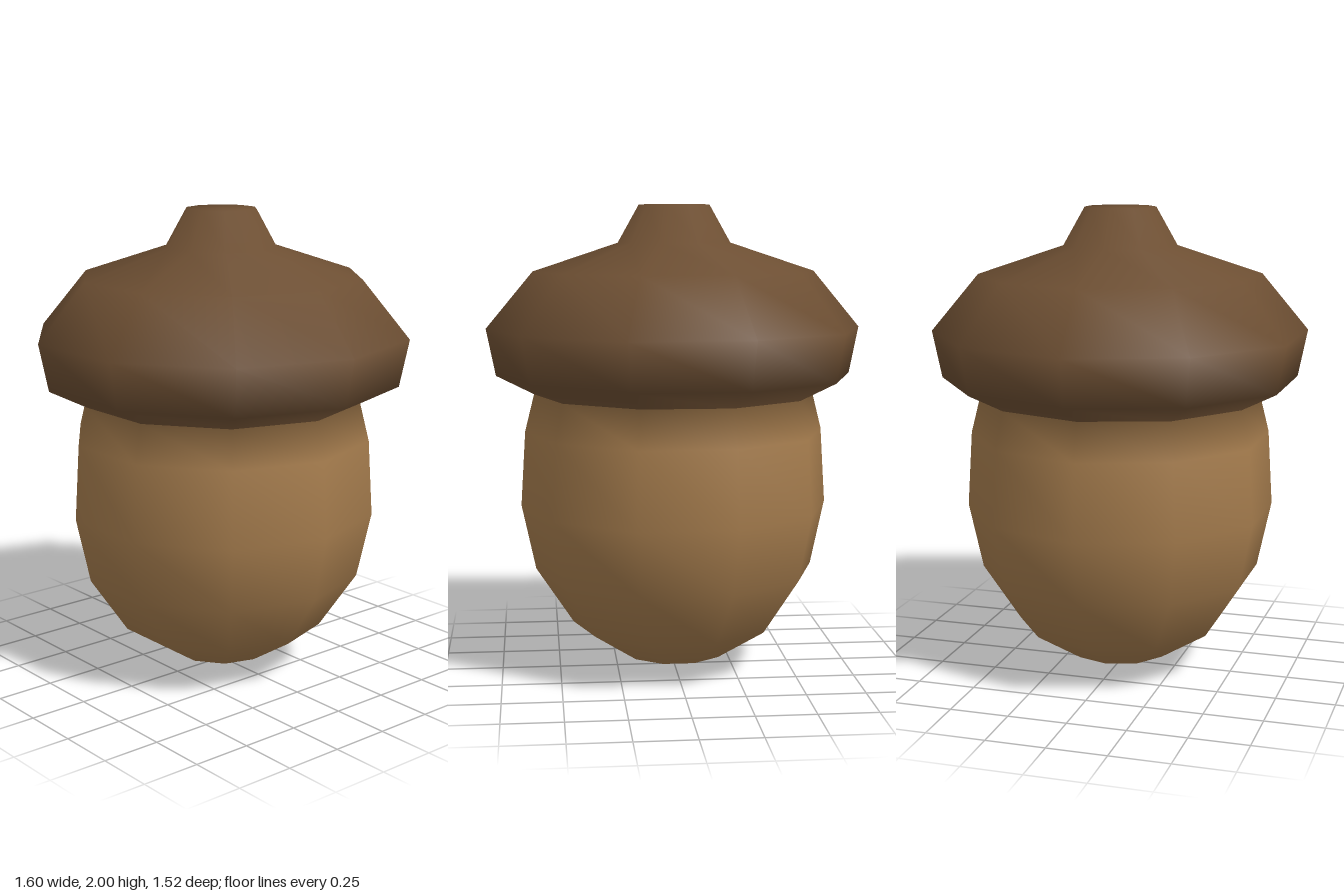
import * as THREE from 'three';

const SIDES = 10;

// Outline from the bottom tip, over the nut, cap and stem, to the stem top
const PROFILE = [
  [0, 0], [0.22, 0.06], [0.44, 0.2], [0.6, 0.44], [0.66, 0.72], [0.64, 1.04],
  [0.6, 1.2], // seam between nut and cap
  [0.76, 1.28], [0.8, 1.48], [0.6, 1.72], [0.24, 1.84], [0.15, 2], [0, 2],
].map(([r, y]) => new THREE.Vector2(r, y));
const SEAM = 6;
const STEM = 10;

// Keeps only some bands of the lathe, so smooth normals run across the seams
function bands(from, to) {
  const geometry = new THREE.LatheGeometry(PROFILE, SIDES, Math.PI / 2);
  const all = Array.from(geometry.index.array);
  const rowLength = (PROFILE.length - 1) * 6;
  const kept = [];
  for (let s = 0; s < SIDES; s++) {
    kept.push(...all.slice(s * rowLength + from * 6, s * rowLength + to * 6));
  }
  geometry.setIndex(kept);
  return geometry;
}

export function createModel() {
  const nutBrown = new THREE.MeshStandardMaterial({ color: 0xa57c4d });
  nutBrown.name = 'nut brown';
  const capBrown = new THREE.MeshStandardMaterial({ color: 0x6c4e32 });
  capBrown.name = 'cap brown';

  const group = new THREE.Group();
  group.name = 'acorn';
  const add = (name, from, to, material) => {
    const mesh = new THREE.Mesh(bands(from, to), material);
    mesh.name = name;
    group.add(mesh);
  };

  add('nut', 0, SEAM, nutBrown);
  add('cap', SEAM, STEM, capBrown);
  add('stem', STEM, PROFILE.length - 1, capBrown);
  return group;
}
